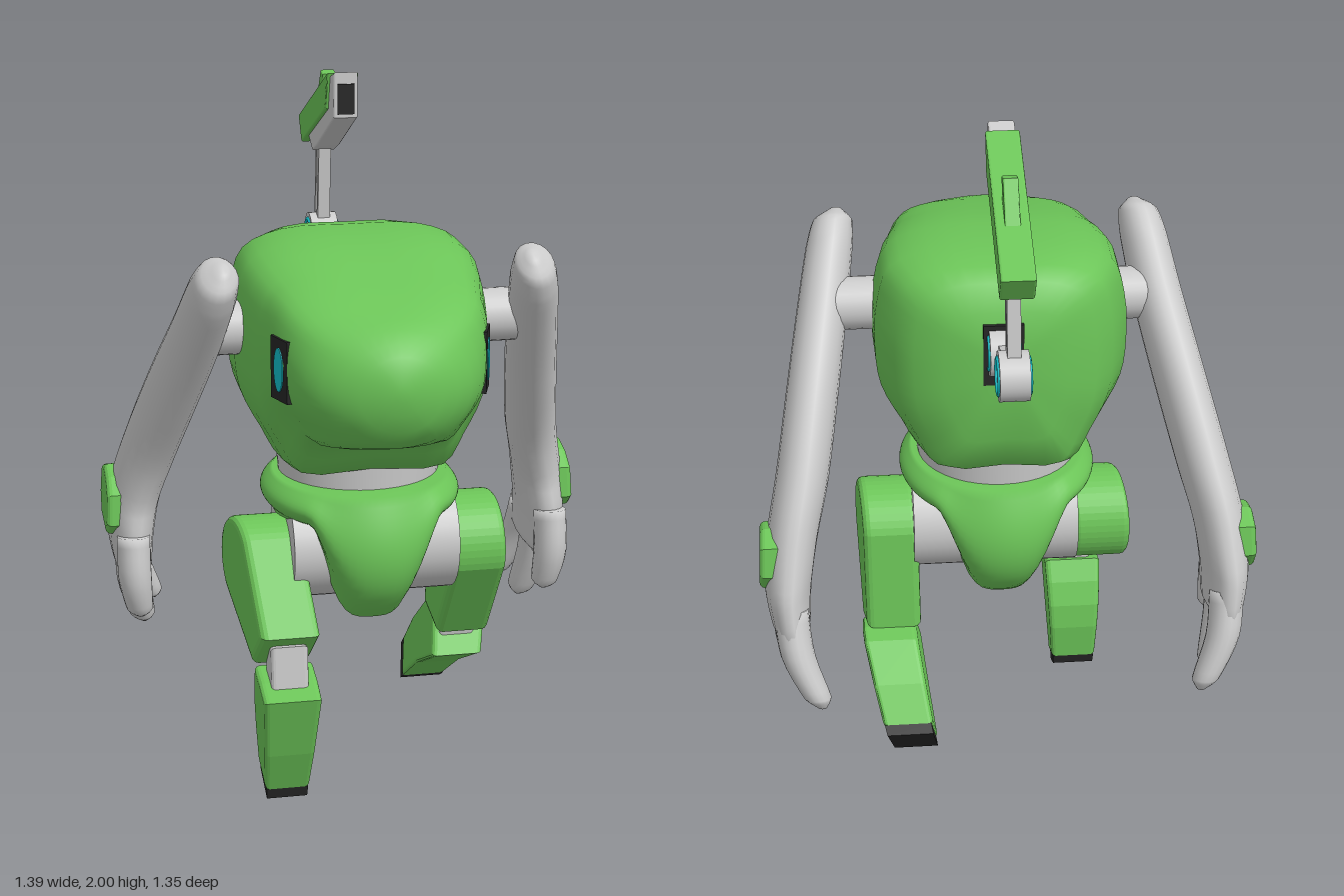
import * as THREE from 'three';

const paint = (color, side = THREE.FrontSide) => new THREE.MeshStandardMaterial({ color, side });
const V = (x, y, z) => new THREE.Vector3(x, y, z);
const { smoothstep, lerp } = THREE.MathUtils;

export function createModel() {
  const model = new THREE.Group();
  const grey = paint(0xcccccc), green = paint(0x6cc558), shell = paint(0x6cc558, THREE.DoubleSide);
  const dark = paint(0x262626), cyan = paint(0x12c0ca);

  const add = (name, geometry, material, parent = model) => {
    const mesh = new THREE.Mesh(geometry, material);
    mesh.name = name;
    parent.add(mesh);
    return mesh;
  };

  // Skin through closed rings that run counter-clockwise about the loft direction
  const loft = (rings, capEnd = true) => {
    const n = rings[0].length, points = rings.flat(), index = [];
    for (let i = 0; i < rings.length - 1; i++) {
      for (let j = 0; j < n; j++) {
        const a = i * n + j, b = i * n + (j + 1) % n;
        index.push(a, b, b + n, a, b + n, a + n);
      }
    }
    const cap = (ring, first, flip) => {
      const c = points.length;
      points.push(ring.reduce((s, p) => s.add(p), V(0, 0, 0)).divideScalar(n));
      for (let j = 0; j < n; j++) {
        const a = first + j, b = first + (j + 1) % n;
        index.push(c, flip ? b : a, flip ? a : b);
      }
    };
    cap(rings[0], 0, true);
    if (capEnd) cap(rings[rings.length - 1], (rings.length - 1) * n, false);
    const g = new THREE.BufferGeometry().setFromPoints(points);
    g.setIndex(index);
    g.computeVertexNormals();
    return g;
  };

  // Soft limb through stations [x, y, z, half thickness in x, half width across]
  const limb = (stations) => {
    const path = new THREE.CatmullRomCurve3(stations.map(s => V(s[0], s[1], s[2])));
    const size = new THREE.CatmullRomCurve3(stations.map(s => V(s[3], s[4], 0)));
    const steps = (stations.length - 1) * 4, rings = [];
    for (let i = 0; i <= steps; i++) {
      const t = i / steps, c = path.getPoint(t), r = size.getPoint(t), d = path.getTangent(t);
      const across = V(0, d.y, d.z).normalize().cross(V(1, 0, 0));
      rings.push(Array.from({ length: 18 }, (_, j) => {
        const a = j / 18 * Math.PI * 2;
        return c.clone().addScaledVector(across, r.y * Math.sin(a)).add(V(r.x * Math.cos(a), 0, 0));
      }));
    }
    return loft(rings);
  };

  // Plate with a [z, y] outline, centred on x; warp(x offset, y, z) gives the bent x offset
  const plate = (outline, x, width, bevel, warp = dx => dx) => {
    const shape = new THREE.Shape(outline.map(p => new THREE.Vector2(p[0], p[1])));
    const g = new THREE.ExtrudeGeometry(shape, {
      depth: width - 2 * bevel, bevelEnabled: bevel > 0, bevelSize: bevel,
      bevelThickness: bevel, bevelOffset: -bevel, bevelSegments: 3,
    });
    g.translate(0, 0, bevel - width / 2).rotateY(-Math.PI / 2);
    const p = g.attributes.position;
    for (let i = 0; i < p.count; i++) p.setX(i, x + warp(p.getX(i), p.getY(i), p.getZ(i)));
    g.computeVertexNormals();
    return g;
  };

  // Head and torso in one hull: sections [z, top, bottom, half width]
  const half = [[0.62, -1], [0.8, -0.7], [0.96, -0.33], [1, 0.05], [0.975, 0.5], [0.87, 0.83], [0.56, 0.98]];
  const profile = new THREE.CatmullRomCurve3([
    V(0, -1, 0), ...half.map(p => V(p[0], p[1], 0)),
    V(0, 1, 0), ...half.slice().reverse().map(p => V(-p[0], p[1], 0)),
  ], true).getPoints(48).slice(0, 48);
  const hull = [
    [-0.25, 1.40, 1.22, 0.08], [-0.235, 1.48, 1.09, 0.17], [-0.2, 1.55, 0.99, 0.25], [-0.15, 1.577, 0.97, 0.3],
    [-0.05, 1.593, 0.97, 0.35], [0.1, 1.588, 0.97, 0.353], [0.2, 1.572, 0.97, 0.338], [0.28, 1.553, 0.98, 0.32],
    [0.32, 1.543, 1.035, 0.31], [0.38, 1.527, 1.104, 0.296], [0.44, 1.51, 1.108, 0.28], [0.5, 1.49, 1.115, 0.258],
    [0.55, 1.473, 1.122, 0.232], [0.59, 1.455, 1.135, 0.2], [0.625, 1.428, 1.162, 0.157], [0.65, 1.4, 1.195, 0.11],
    [0.667, 1.363, 1.245, 0.058], [0.673, 1.325, 1.285, 0.02],
  ];
  // The section turns from a soft box into an ellipse toward the nose
  add('headAndTorso', loft(hull.map(([z, top, bottom, w]) => profile.map(p => {
    const q = p.clone().lerp(p.clone().normalize(), smoothstep(z, 0.45, 0.63));
    return V(q.x * w, (top + bottom) / 2 + q.y * (top - bottom) / 2, z);
  }))), green);

  // Waist collar and hip core
  add('waistCollar', new THREE.CylinderGeometry(0.235, 0.225, 0.12, 40).translate(0.005, 0.94, 0.045), grey);
  add('hipCore', new THREE.CylinderGeometry(0.17, 0.17, 0.47, 32).rotateZ(Math.PI / 2).scale(1, 1, 1.2)
    .translate(0.02, 0.72, 0.06), grey);

  // Pelvis skirt hanging low at front and back, cut high over the legs
  const skirt = [];
  for (let i = 0; i <= 14; i++) {
    const t = i / 14, bulge = Math.sin(Math.PI * Math.min(1, t * 1.1));
    skirt.push(Array.from({ length: 80 }, (_, j) => {
      const a = j / 80 * Math.PI * 2, s = Math.abs(Math.sin(a));
      const y = lerp(0.915, 0.8 - 0.265 * smoothstep(s, 0.72, 1), t);
      return V(0.005 + (0.245 + 0.035 * bulge) * Math.cos(a), y, 0.06 + (0.28 + 0.05 * bulge - 0.08 * t ** 8) * Math.sin(a));
    }));
  }
  add('pelvis', loft(skirt, false), shell);

  // Mirrored sides: eye, shoulder, arm, hand and forearm guard; the right shoulder sits slightly closer in
  for (const [side, sign, inset] of [['left', 1, 0], ['right', -1, 0.032]]) {
    const g = new THREE.Group();
    g.name = side + 'Side';
    g.scale.x = sign;
    model.add(g);

    const eye = new THREE.Group();
    eye.name = 'eye';
    eye.position.set(0.269, 1.32, 0.425);
    eye.rotation.y = -0.33;
    g.add(eye);
    add('eyeSocket', new THREE.BoxGeometry(0.03, 0.17, 0.09), dark, eye);
    add('eyeLens', new THREE.CylinderGeometry(0.06, 0.06, 0.036, 28).rotateZ(Math.PI / 2).scale(1, 1, 0.4), cyan, eye);

    add('shoulder', new THREE.CylinderGeometry(0.075, 0.075, 0.2, 24).rotateZ(Math.PI / 2).translate(0.39, 1.355, 0.11), grey, g);
    const arm = [
      [0.44, 1.563, 0.292, 0.015, 0.02], [0.45, 1.535, 0.27, 0.056, 0.072], [0.462, 1.48, 0.225, 0.066, 0.09],
      [0.488, 1.35, 0.12, 0.071, 0.1], [0.528, 1.15, -0.035, 0.074, 0.115], [0.567, 0.95, -0.165, 0.075, 0.12],
      [0.602, 0.8, -0.23, 0.072, 0.135], [0.618, 0.67, -0.255, 0.066, 0.165], [0.613, 0.57, -0.275, 0.055, 0.165],
      [0.61, 0.53, -0.28, 0.02, 0.12],
    ];
    add('arm', limb(arm.map(([x, ...rest]) => [x - inset * smoothstep(rest[0], 0.8, 1.4), ...rest])), grey, g);
    const fingers = [
      [[0.622, 0.68, -0.13], [0.622, 0.56, -0.11], [0.61, 0.46, -0.125]],
      [[0.618, 0.64, -0.24], [0.612, 0.5, -0.265], [0.585, 0.38, -0.3]],
      [[0.612, 0.64, -0.35], [0.598, 0.52, -0.4], [0.548, 0.4, -0.437]],
    ];
    for (const [a, b, c] of fingers) {
      const tip = c.map((v, k) => v + (c[k] - b[k]) * 0.25);
      add('finger', limb([[...a, 0.048, 0.067], [...b, 0.048, 0.06], [...c, 0.038, 0.044], [...tip, 0.012, 0.014]]), grey, g);
    }
    add('forearmGuard', plate([[-0.145, 0.8], [-0.2, 0.84], [-0.27, 0.858], [-0.34, 0.835], [-0.355, 0.75], [-0.31, 0.69],
      [-0.18, 0.673], [-0.137, 0.71]], 0.663, 0.06, 0.015, (dx, y) => dx - 0.05 * (y - 0.77)), green, g);
  }

  // Legs: one striding forward, the other swung back with a lifted foot
  const legs = [
    { side: 'right', x: -0.282, hip: [0.085, 0.655], knee: [0.29, 0.465], radius: 0.137, width: 0.168,
      thighWarp: (dx, y, z) => dx + 0.15 * (z - 0.05),
      shinX: -0.243, shin: [[0.33, 0.49], [0.24, 0.48], [0.23, 0.34], [0.34, 0.34]],
      footX: -0.243, footWarp: (dx, y) => dx * (0.83 + 0.75 * y),
      foot: [[0.39, 0.35], [0.31, 0.378], [0.22, 0.395], [0.185, 0.335], [0.16, 0.265], [0.152, 0.19], [0.162, 0.08], [0.268, 0.032], [0.325, 0.16]],
      sole: [[0.162, 0.08], [0.268, 0.032], [0.26, 0], [0.168, 0.05]] },
    { side: 'left', x: 0.328, hip: [0.035, 0.665], knee: [-0.06, 0.39], radius: 0.145, width: 0.158,
      thighWarp: (dx, y, z) => dx + 0.06 * (z - 0.05),
      shinX: 0.315, shin: [[0.0, 0.42], [-0.1, 0.45], [-0.13, 0.35], [-0.02, 0.32]],
      footX: 0.3, footWarp: (dx, y) => dx * (0.85 + 0.5 * y) + 0.21 * (y - 0.25),
      foot: [[0.02, 0.295], [-0.055, 0.405], [-0.12, 0.413], [-0.175, 0.4], [-0.27, 0.31], [-0.335, 0.215], [-0.27, 0.115], [-0.15, 0.205]],
      sole: [[-0.335, 0.215], [-0.27, 0.115], [-0.29, 0.1], [-0.352, 0.19]] },
  ];
  for (const leg of legs) {
    const g = new THREE.Group();
    g.name = leg.side + 'Leg';
    model.add(g);
    const hip = new THREE.Vector2(...leg.hip), knee = new THREE.Vector2(...leg.knee);
    const d = knee.clone().sub(hip).normalize(), n = new THREE.Vector2(-d.y, d.x), outline = [];
    for (let i = 0; i <= 22; i++) {
      const a = i / 22 * Math.PI, r = leg.radius;
      outline.push(hip.clone().addScaledVector(n, r * Math.cos(a)).addScaledVector(d, -r * Math.sin(a)).toArray());
    }
    for (const s of [-1, 1]) outline.push(knee.clone().addScaledVector(n, s * 0.073).toArray());
    add('thigh', plate(outline, leg.x, leg.width, 0.02, leg.thighWarp), green, g);
    add('shin', plate(leg.shin, leg.shinX, 0.105, 0.012), grey, g);
    add('foot', plate(leg.foot, leg.footX, 0.15, 0.014, leg.footWarp), green, g);
    add('sole', plate(leg.sole, leg.footX, 0.14, 0, leg.footWarp), dark, g);
  }

  // Jointed tail: two railed links between ringed pivots
  const tail = new THREE.Group();
  tail.name = 'tail';
  tail.position.x = 0.01;
  model.add(tail);
  const pivots = [[1.37, -0.245], [1.452, -0.537], [1.76, -0.505]];
  add('tailSocket', new THREE.BoxGeometry(0.11, 0.18, 0.03), dark, tail).position.set(0, 1.36, -0.237);
  for (let i = 0; i < 2; i++) {
    const [y, z] = pivots[i], [y2, z2] = pivots[i + 1], length = Math.hypot(y2 - y, z2 - z);
    add('pivot', new THREE.CylinderGeometry(0.067, 0.067, 0.08, 32).rotateZ(Math.PI / 2), grey, tail).position.set(0, y, z);
    for (const x of [-0.04, 0.04])
      add('pivotRing', new THREE.TorusGeometry(0.048, 0.006, 8, 36).rotateY(Math.PI / 2), cyan, tail).position.set(x, y, z);
    const link = new THREE.Group();
    link.name = 'tailLink';
    link.position.set(0, (y + y2) / 2, (z + z2) / 2);
    link.rotation.x = Math.atan2(z2 - z, y2 - y);
    tail.add(link);
    for (const s of [-1, 0, 1])
      add('rail', new THREE.BoxGeometry(s ? 0.036 : 0.026, length, s ? 0.02 : 0.022), s ? grey : dark, link).position.z = s * 0.018;
  }

  // Tail blaster with muzzle, cover and sight
  add('blasterBody', plate([[-0.157, 2], [-0.157, 1.872], [-0.43, 1.742], [-0.5, 1.715], [-0.56, 1.745], [-0.6, 1.78], [-0.22, 1.98]],
    0, 0.07, 0.006), grey, tail);
  add('muzzle', new THREE.BoxGeometry(0.048, 0.085, 0.01), dark, tail).position.set(0, 1.925, -0.156);
  add('blasterCover', plate([[-0.203, 1.992], [-0.675, 1.79], [-0.628, 1.717], [-0.235, 1.885]], 0, 0.09, 0.006), green, tail);
  add('sight', plate([[-0.405, 1.955], [-0.44, 1.962], [-0.515, 1.85], [-0.42, 1.88]], 0, 0.04, 0.004), green, tail);
  add('sightLens', new THREE.BoxGeometry(0.024, 0.045, 0.01), cyan, tail).position.set(0, 1.925, -0.412);

  return model;
}
